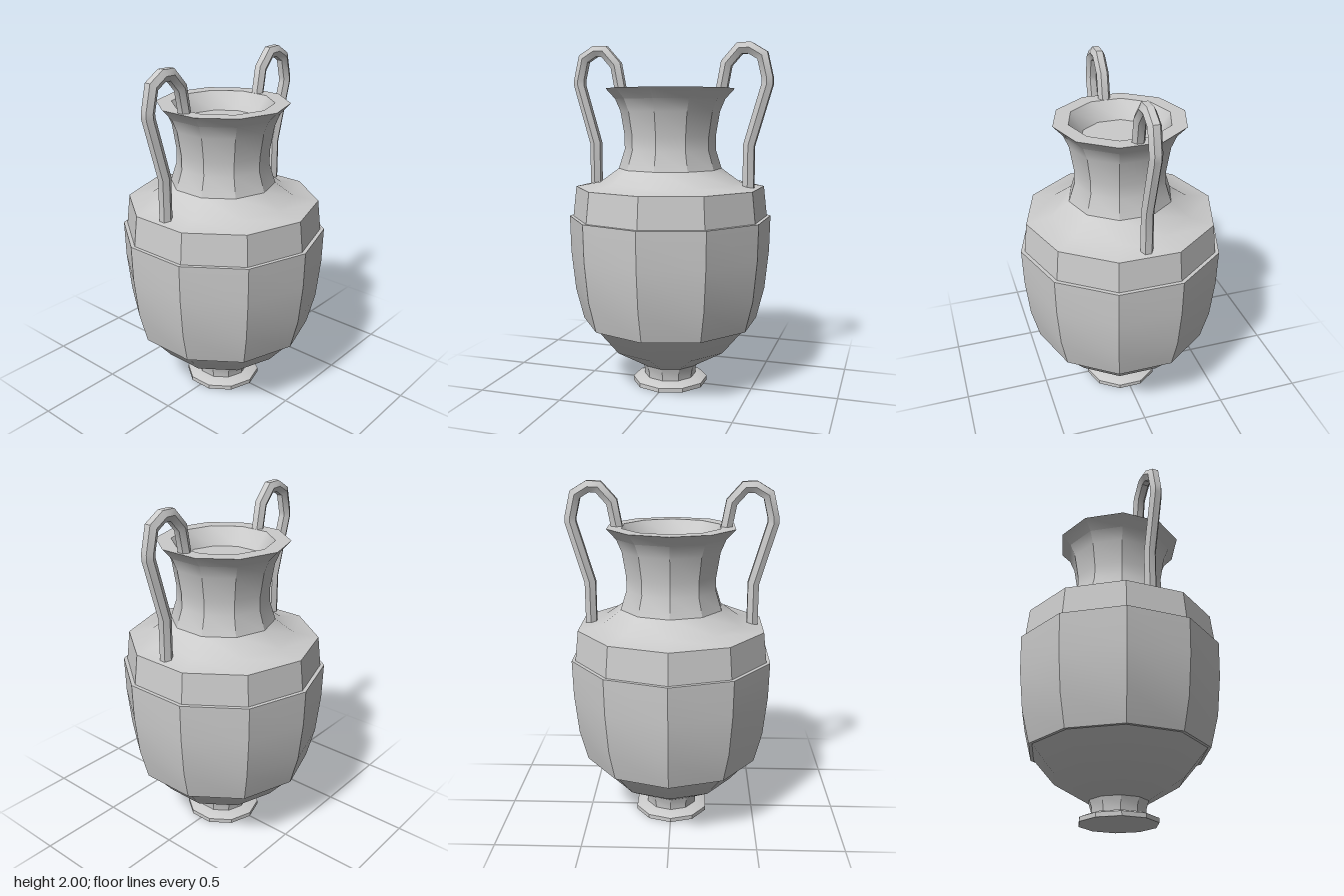
import * as THREE from 'three';
import { toCreasedNormals } from 'three/addons/utils/BufferGeometryUtils.js';

const SIDES = 10;
const CREASE = 0.56;
const material = new THREE.MeshStandardMaterial({ color: 0xcccccc });

function addMesh(parent, name, geometry) {
  const mesh = new THREE.Mesh(toCreasedNormals(geometry, CREASE), material);
  mesh.name = name;
  parent.add(mesh);
  return mesh;
}

// Ten-sided turned part, profile given as [radius, height] from the bottom up
function turned(parent, name, profile) {
  const points = profile.map(([r, y]) => new THREE.Vector2(r, y));
  return addMesh(parent, name, new THREE.LatheGeometry(points, SIDES, Math.PI / 2));
}

// Hexagonal bar swept along a flat [z, y] path with mitred corners
function sweptBar(path, radius) {
  const sides = 6;
  const pts = path.map(([z, y]) => new THREE.Vector2(z, y));
  const positions = [];
  const index = [];
  pts.forEach((p, i) => {
    const before = p.clone().sub(pts[Math.max(i - 1, 0)]).normalize();
    const after = pts[Math.min(i + 1, pts.length - 1)].clone().sub(p).normalize();
    const tangent = before.clone().add(after).normalize();
    const along = i === 0 ? after : before;
    const mitre = radius / tangent.dot(along);
    for (let k = 0; k < sides; k++) {
      const a = (k / sides) * Math.PI * 2;
      const n = Math.sin(a) * mitre;
      positions.push(Math.cos(a) * radius, p.y + tangent.x * n, p.x - tangent.y * n);
    }
  });
  for (let i = 0; i < pts.length - 1; i++) {
    for (let k = 0; k < sides; k++) {
      const a = i * sides + k;
      const b = i * sides + ((k + 1) % sides);
      index.push(a, b, a + sides, b, b + sides, a + sides);
    }
  }
  // End caps
  const last = (pts.length - 1) * sides;
  for (let k = 1; k < sides - 1; k++) {
    index.push(0, k + 1, k, last, last + k, last + k + 1);
  }
  const geometry = new THREE.BufferGeometry();
  geometry.setAttribute('position', new THREE.Float32BufferAttribute(positions, 3));
  geometry.setIndex(index);
  return geometry;
}

export function createModel() {
  const vase = new THREE.Group();
  vase.name = 'vase';

  turned(vase, 'foot', [
    [0, 0], [0.222, 0], [0.222, 0.025], [0.185, 0.04],
    [0.152, 0.045], [0.155, 0.08], [0.168, 0.12],
  ]);
  turned(vase, 'lowerBody', [[0.168, 0.12], [0.37, 0.24], [0.498, 0.39]]);

  // Raised band with a small ledge above and below
  turned(vase, 'bellyBand', [
    [0.498, 0.39], [0.517, 0.39], [0.563, 0.57], [0.587, 0.8], [0.592, 1.01], [0.57, 1.01],
  ]);
  turned(vase, 'upperBody', [[0.57, 1.01], [0.55, 1.185]]);
  turned(vase, 'shoulderAndNeck', [
    [0.55, 1.185], [0.41, 1.21], [0.3, 1.29], [0.265, 1.4], [0.265, 1.48],
    [0.288, 1.62], [0.318, 1.69], [0.373, 1.75],
  ]);

  // Flat rim and shallow hollow inside the mouth
  turned(vase, 'mouth', [[0.373, 1.75], [0.287, 1.75], [0.217, 1.65], [0, 1.65]]);

  // Tall looped handles, front and back
  const handlePath = [
    [0.466, 1.185], [0.466, 1.43], [0.565, 1.77], [0.565, 1.8], [0.535, 1.925],
    [0.463, 1.968], [0.405, 1.966], [0.332, 1.885], [0.305, 1.74],
  ];
  const handleGeometry = sweptBar(handlePath, 0.036);
  addMesh(vase, 'frontHandle', handleGeometry);
  addMesh(vase, 'backHandle', handleGeometry).rotation.y = Math.PI;

  return vase;
}
